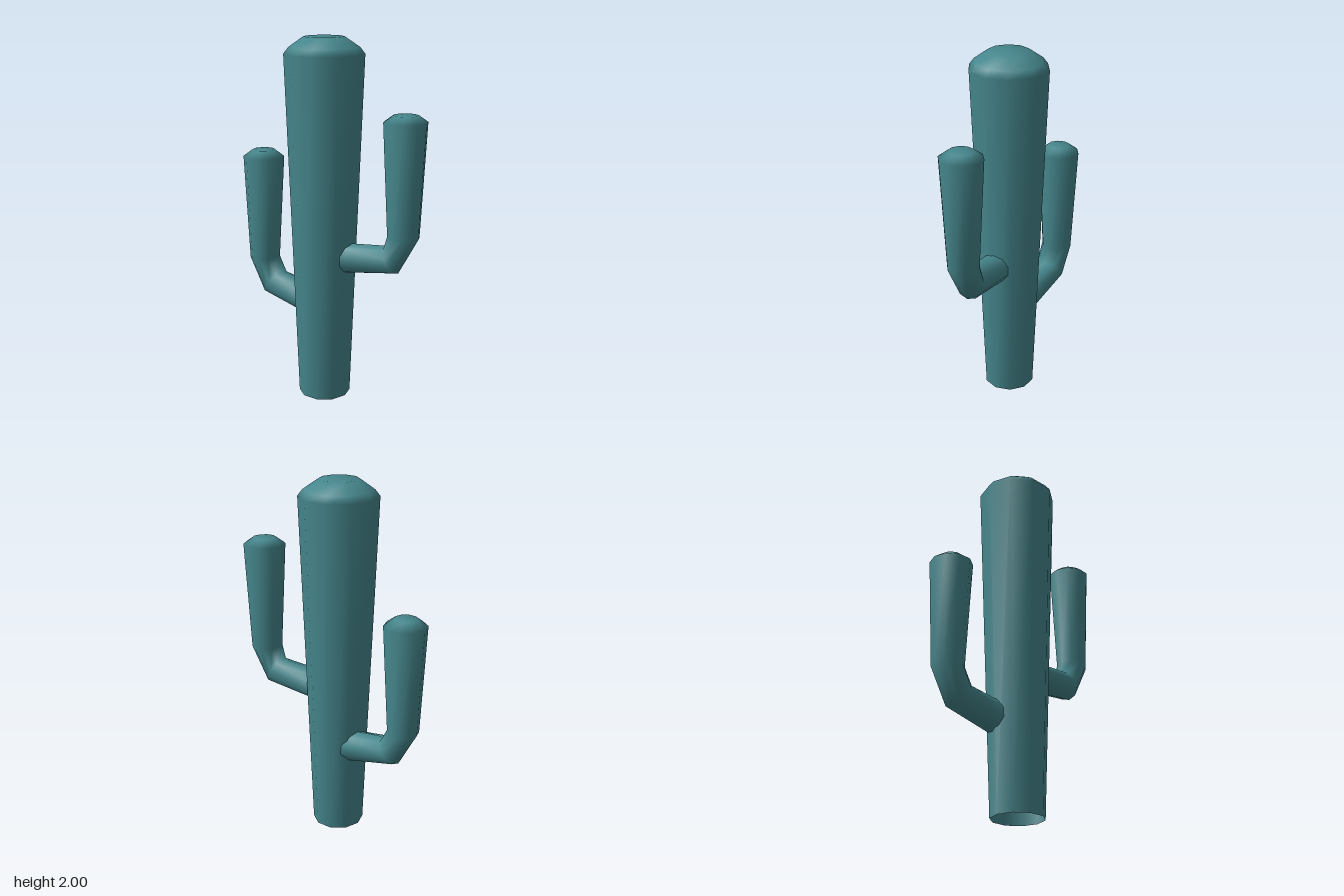
import * as THREE from 'three';

const SIDES = 10;

// Skin through rings [x, y, z, radius, tilt in degrees above horizontal],
// all bending in the vertical plane that contains the heading (hx, hz).
// Open at the start, closed by a fan at the end.
function loft(rings, hx, hz) {
  const h = new THREE.Vector3(hx, 0, hz).normalize();
  const up = new THREE.Vector3(0, 1, 0);
  const side = new THREE.Vector3().crossVectors(up, h);
  const positions = [];
  const index = [];
  rings.forEach(([x, y, z, r, tilt], i) => {
    const t = THREE.MathUtils.degToRad(tilt);
    const u = h.clone().multiplyScalar(Math.sin(t)).addScaledVector(up, -Math.cos(t));
    for (let k = 0; k < SIDES; k++) {
      const a = (k / SIDES) * Math.PI * 2;
      const p = new THREE.Vector3(x, y, z)
        .addScaledVector(u, r * Math.cos(a))
        .addScaledVector(side, r * Math.sin(a));
      positions.push(p.x, p.y, p.z);
      if (i === 0) continue;
      const k2 = (k + 1) % SIDES;
      const a0 = (i - 1) * SIDES + k, b0 = (i - 1) * SIDES + k2;
      const a1 = i * SIDES + k, b1 = i * SIDES + k2;
      index.push(a0, b0, b1, a0, b1, a1);
    }
  });
  const last = rings.length - 1;
  const centre = rings.length * SIDES;
  positions.push(...rings[last].slice(0, 3));
  for (let k = 0; k < SIDES; k++) {
    index.push(last * SIDES + k, last * SIDES + ((k + 1) % SIDES), centre);
  }
  const g = new THREE.BufferGeometry();
  g.setAttribute('position', new THREE.Float32BufferAttribute(positions, 3));
  g.setIndex(index);
  g.computeVertexNormals();
  return g;
}

export function createModel() {
  const group = new THREE.Group();
  group.name = 'cactus';
  const green = new THREE.MeshStandardMaterial({ color: 0x45868c, side: THREE.DoubleSide });
  green.name = 'cactus teal';

  const add = (name, rings, hx, hz) => {
    const mesh = new THREE.Mesh(loft(rings, hx, hz), green);
    mesh.name = name;
    group.add(mesh);
  };

  // Trunk, widening upwards to a bevelled crown
  add('trunk', [
    [-0.003, 0, 0.037, 0.143, 90],
    [-0.004, 1.91, 0.035, 0.215, 90],
    [-0.004, 1.945, 0.035, 0.188, 90],
    [-0.004, 2, 0.037, 0.108, 90],
  ], -0.04, 1);

  // Higher arm
  add('leftArm', [
    [0.1, 0.812, 0, 0.084, 3],
    [0.387, 0.85, -0.113, 0.081, 28],
    [0.448, 0.985, -0.135, 0.086, 87],
    [0.446, 1.59, -0.137, 0.116, 90],
    [0.446, 1.625, -0.137, 0.066, 90],
  ], 1, -0.39);

  // Lower arm
  add('rightArm', [
    [-0.1, 0.513, 0.03, 0.088, 10],
    [-0.378, 0.57, 0.107, 0.084, 39],
    [-0.452, 0.708, 0.127, 0.086, 87],
    [-0.45, 1.307, 0.125, 0.116, 90],
    [-0.45, 1.346, 0.125, 0.064, 90],
  ], -1, 0.28);

  return group;
}
